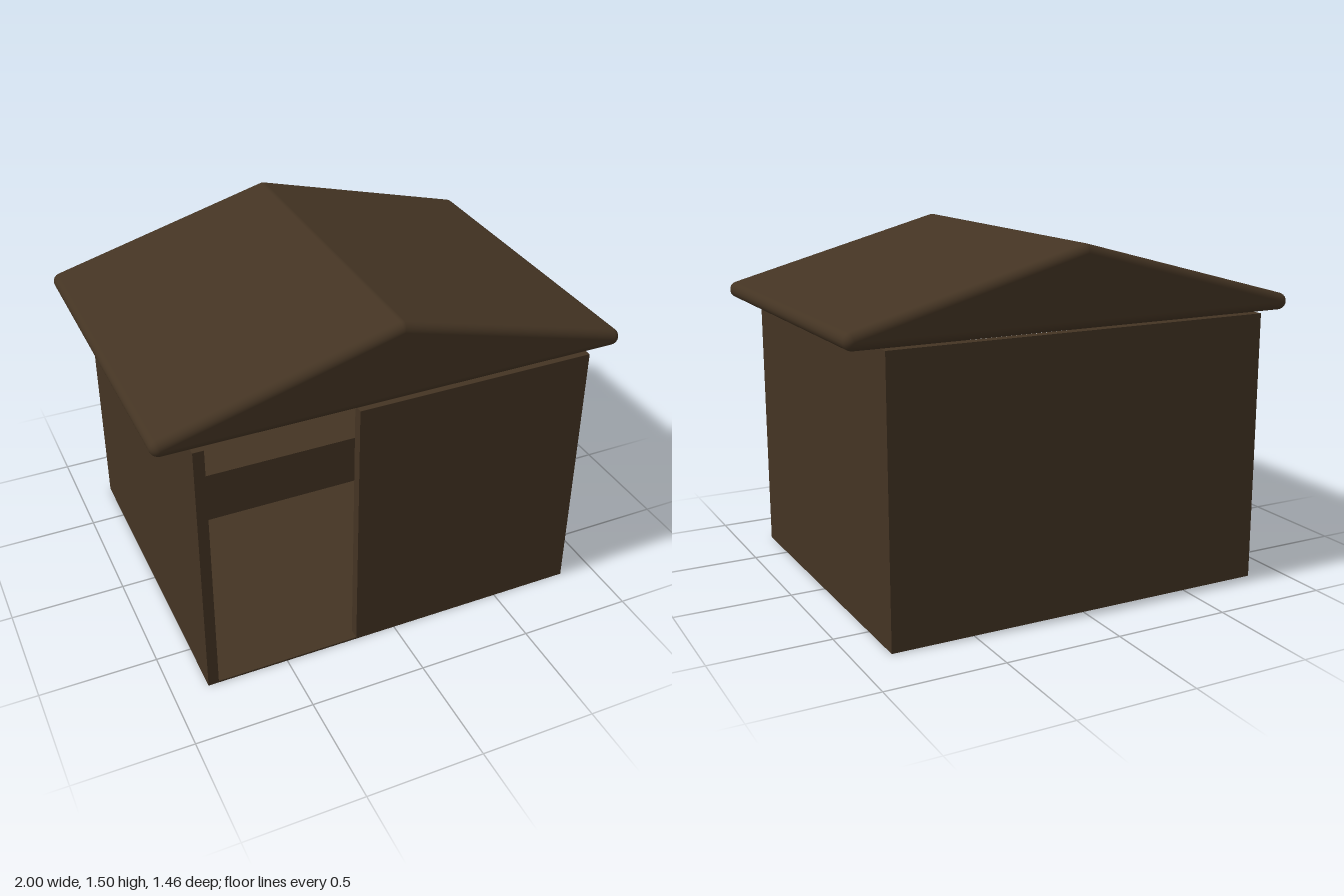
import * as THREE from 'three';

const HALF_W = 0.85, HALF_D = 0.73, WALL_H = 1.17, T = 0.045;
const DOOR_LEFT = -HALF_W + T, DOOR_RIGHT = -0.18;

// Triangular prism with every edge rounded by radius r; corners run counter-clockwise
function roundedPrism(corners, halfDepth, r, steps) {
  const outline = [];
  const n = corners.length;
  const edgeAngle = (a, b) => Math.atan2(-(b[0] - a[0]), b[1] - a[1]);
  corners.forEach((c, i) => {
    const start = edgeAngle(corners[(i + n - 1) % n], c);
    let sweep = edgeAngle(c, corners[(i + 1) % n]) - start;
    while (sweep < 0) sweep += Math.PI * 2;
    for (let k = 0; k <= steps; k++) outline.push({ c, a: start + (sweep * k) / steps });
  });

  // Rings from the back face round to the front face
  const rings = [];
  for (const side of [-1, 1]) {
    for (let k = 0; k <= steps; k++) {
      const f = (k / steps) * Math.PI / 2;
      rings.push({ z: side * halfDepth, v: side < 0 ? f - Math.PI / 2 : f });
    }
  }

  const pos = [], nor = [], idx = [], m = outline.length;
  for (const { z, v } of rings) {
    for (const { c, a } of outline) {
      const d = [Math.cos(a) * Math.cos(v), Math.sin(a) * Math.cos(v), Math.sin(v)];
      pos.push(c[0] + r * d[0], c[1] + r * d[1], z + r * d[2]);
      nor.push(...d);
    }
  }
  for (let j = 0; j < rings.length - 1; j++) {
    for (let i = 0; i < m; i++) {
      const a = j * m + i, b = j * m + ((i + 1) % m);
      idx.push(a, b, b + m, a, b + m, a + m);
    }
  }
  // Flat gable ends
  const last = (rings.length - 1) * m;
  for (let i = 1; i < m - 1; i++) {
    idx.push(0, i + 1, i);
    idx.push(last, last + i, last + i + 1);
  }
  const g = new THREE.BufferGeometry();
  g.setAttribute('position', new THREE.Float32BufferAttribute(pos, 3));
  g.setAttribute('normal', new THREE.Float32BufferAttribute(nor, 3));
  g.setIndex(idx);
  return g;
}

export function createModel() {
  const model = new THREE.Group();
  model.name = 'shelter';

  const wood = new THREE.MeshStandardMaterial({ color: 0x443423 });
  wood.name = 'dark brown wood';

  const add = (name, geometry, x = 0, y = 0, z = 0) => {
    const mesh = new THREE.Mesh(geometry, wood);
    mesh.name = name;
    mesh.position.set(x, y, z);
    model.add(mesh);
    return mesh;
  };

  // Walls: one footprint (x, z) that leaves the doorway open at the front
  const ix = HALF_W - T, iz = HALF_D - T;
  const footprint = [
    [DOOR_RIGHT, HALF_D], [HALF_W, HALF_D], [HALF_W, -HALF_D], [-HALF_W, -HALF_D],
    [-HALF_W, HALF_D], [DOOR_LEFT, HALF_D], [-ix, -iz], [ix, -iz], [ix, iz], [DOOR_RIGHT, iz],
  ];
  const shape = new THREE.Shape(footprint.map(([x, z]) => new THREE.Vector2(x, -z)));
  const walls = new THREE.ExtrudeGeometry(shape, { depth: WALL_H, bevelEnabled: false });
  walls.rotateX(-Math.PI / 2);
  add('walls', walls);

  // Floor, with a threshold filling the doorway
  const floorH = 0.008;
  add('floor', new THREE.BoxGeometry(ix * 2, floorH, iz * 2), 0, floorH / 2, 0);
  add('threshold', new THREE.BoxGeometry(DOOR_RIGHT - DOOR_LEFT, floorH, T),
    (DOOR_LEFT + DOOR_RIGHT) / 2, floorH / 2, HALF_D - T / 2);

  // Low bench along the back wall
  const benchH = 0.27, benchD = 0.4;
  add('bench', new THREE.BoxGeometry(ix * 2, benchH - floorH, benchD),
    0, (benchH + floorH) / 2, -iz + benchD / 2);

  // Gabled roof with soft edges
  const r = 0.036;
  const roofCorners = [[-1 + r, WALL_H + r + 0.003], [1 - r, WALL_H + r + 0.003], [0, 1.505 - r]];
  add('roof', roundedPrism(roofCorners, HALF_D - r, r, 8));

  return model;
}
